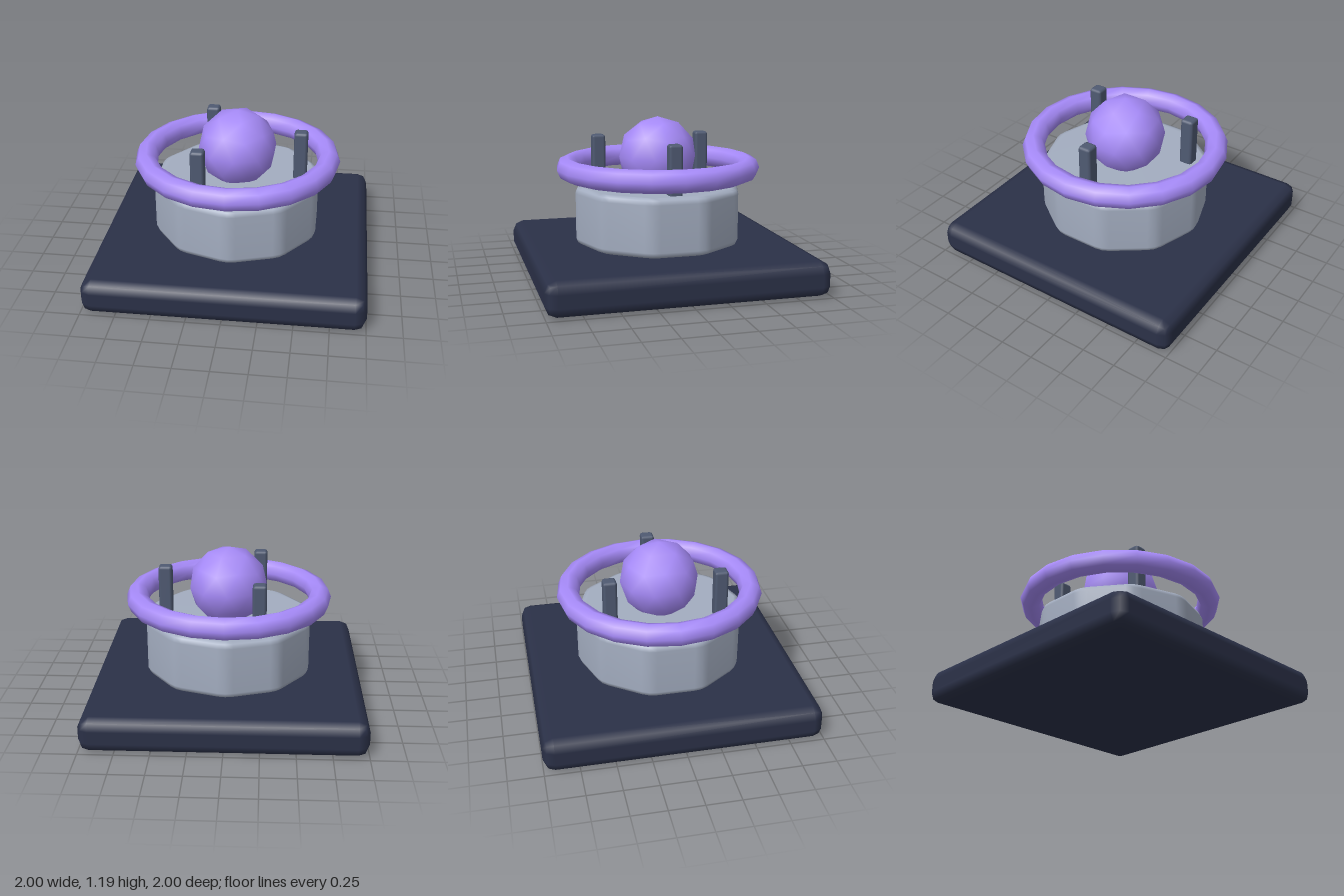
import * as THREE from 'three';
import { mergeVertices } from 'three/addons/utils/BufferGeometryUtils.js';
import { RoundedBoxGeometry } from 'three/addons/geometries/RoundedBoxGeometry.js';

const material = (color) => new THREE.MeshStandardMaterial({ color });

// Ten-sided drum with softened vertical corners and rounded rims
function drumGeometry(radius, height, corner, bevel) {
  const sides = 10;
  const points = [];
  const dip = Math.sin(Math.PI / sides);
  const run = Math.cos(Math.PI / sides);
  for (let i = 0; i < sides; i++) {
    const a = Math.PI / 2 + (i / sides) * Math.PI * 2;
    for (const s of [-1, 0, 1]) {
      const r = radius - corner * dip * (s === 0 ? 0.5 : 1);
      const t = s * corner * run;
      points.push(new THREE.Vector2(
        r * Math.cos(a) - t * Math.sin(a),
        r * Math.sin(a) + t * Math.cos(a)));
    }
  }
  let g = new THREE.ExtrudeGeometry(new THREE.Shape(points), {
    depth: height - 2 * bevel, steps: 1, bevelEnabled: true,
    bevelSize: bevel, bevelThickness: bevel, bevelOffset: -bevel, bevelSegments: 2,
  });
  g.rotateX(-Math.PI / 2);
  g.translate(0, bevel, 0);
  // Shared vertices give area-weighted normals: flat faces, soft bevels
  g.deleteAttribute('normal');
  g.deleteAttribute('uv');
  g = mergeVertices(g, 1e-4);
  g.computeVertexNormals();
  return g;
}

export function createModel() {
  const model = new THREE.Group();
  const navy = material(0x2b3148);
  const grey = material(0xa3adc0);
  const slate = material(0x4f5a72);
  const violet = material(0xa78bfa);

  const add = (name, geometry, mat, x, y, z) => {
    const mesh = new THREE.Mesh(geometry, mat);
    mesh.name = name;
    mesh.position.set(x, y, z);
    model.add(mesh);
    return mesh;
  };

  // Square base slab
  add('base', new RoundedBoxGeometry(2, 0.25, 2, 1, 0.08), navy, 0, 0.125, 0);

  // Drum on the base
  add('drum', drumGeometry(0.636, 0.43, 0.06, 0.045), grey, 0, 0.25, 0);

  // Orb, turned so that a vertex points straight up
  const orb = new THREE.IcosahedronGeometry(0.295, 1);
  orb.rotateX(-Math.atan((1 + Math.sqrt(5)) / 2));
  orb.rotateY(Math.PI / 2);
  add('orb', orb, violet, 0, 0.895, 0);

  // Floating ring
  const ring = new THREE.TorusGeometry(0.68, 0.083, 8, 20);
  ring.rotateX(Math.PI / 2);
  add('ring', ring, violet, 0, 0.812, 0);

  // Three posts around the orb
  const post = new RoundedBoxGeometry(0.1, 0.4, 0.1, 1, 0.02);
  for (let i = 0; i < 3; i++) {
    const a = (i / 3) * Math.PI * 2;
    add('post' + (i + 1), post, slate, 0.47 * Math.cos(a), 0.84, 0.47 * Math.sin(a));
  }

  return model;
}
